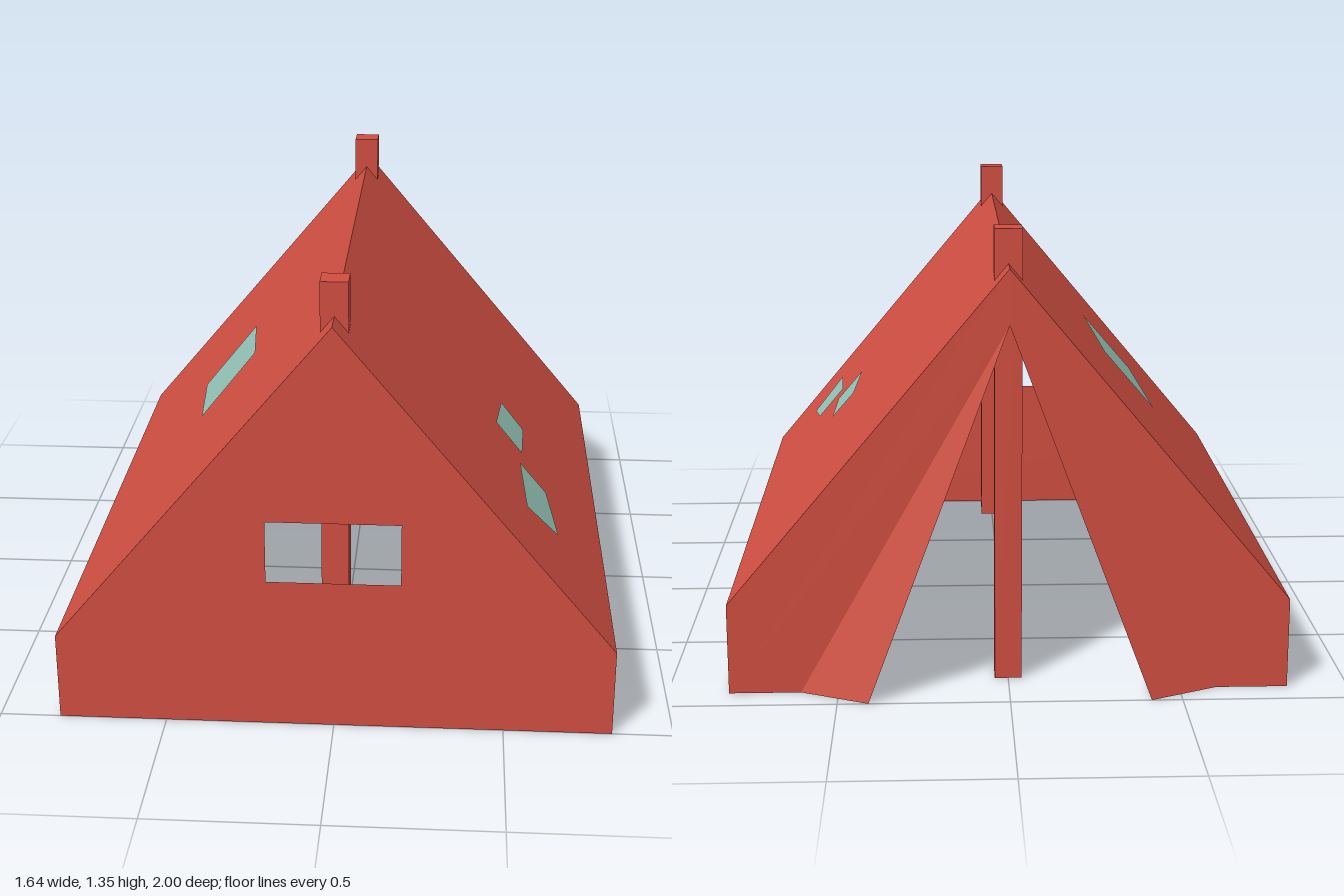
import * as THREE from 'three';

const W = 0.82, EAVE = 0.27, RIDGE = 1.25, FRONT = 1, BACK = -0.91;
const roofY = (x) => RIDGE - Math.abs(x) * (RIDGE - EAVE) / W;
const shapeFrom = (pts) => new THREE.Shape(pts.map(([x, y]) => new THREE.Vector2(x, y)));

export function createModel() {
  const group = new THREE.Group();
  const canvas = new THREE.MeshStandardMaterial({ color: 0xd04e41, side: THREE.DoubleSide });
  canvas.name = 'red canvas';
  const cloth = new THREE.MeshStandardMaterial({ color: 0x93c1b5, side: THREE.DoubleSide });
  cloth.name = 'teal patch cloth';

  const add = (name, geometry, material = canvas) => {
    const mesh = new THREE.Mesh(geometry, material);
    mesh.name = name;
    group.add(mesh);
    return mesh;
  };
  const facets = (triangles) => {
    const g = new THREE.BufferGeometry();
    g.setAttribute('position', new THREE.Float32BufferAttribute(triangles.flat(2), 3));
    g.computeVertexNormals();
    return g;
  };

  // Roof and low side walls: one cross-section carried from back to front
  const section = [[W, 0], [W, EAVE], [0, RIDGE], [-W, EAVE], [-W, 0]];
  const names = ['leftWall', 'leftRoof', 'rightRoof', 'rightWall'];
  names.forEach((name, i) => {
    const [a, b] = [section[i], section[i + 1]];
    const p = [...a, FRONT], q = [...a, BACK], r = [...b, BACK], s = [...b, FRONT];
    add(name, facets([[p, q, r], [p, r, s]]));
  });

  // Front gable with window opening
  const front = shapeFrom(section);
  front.holes.push(new THREE.Path([[-0.195, 0.47], [-0.195, 0.66], [0.195, 0.66], [0.195, 0.47]]
    .map(([x, y]) => new THREE.Vector2(x, y))));
  add('frontGable', new THREE.ShapeGeometry(front)).position.z = FRONT;

  // Back gable with the tall entrance
  const top = 1.09, inner = 0.41, outer = 0.61;
  const back = shapeFrom([...section, [-inner, 0], [0, top], [inner, 0]]);
  const backGable = new THREE.ShapeGeometry(back);
  backGable.rotateY(Math.PI);
  add('backGable', backGable).position.z = BACK;

  // Folded entrance flaps, mirrored
  for (const side of [1, -1]) {
    const apex = [0, top, BACK], o = [side * outer, 0, BACK];
    const tip = [side * inner, 0, -1], n = [side * inner, 0, BACK];
    const faces = [[apex, o, tip], [apex, tip, n], [o, n, tip]];
    add(side > 0 ? 'leftFlap' : 'rightFlap',
      facets(side > 0 ? faces : faces.map(([a, b, c]) => [a, c, b])));
  }

  // Tent poles through the ridge
  for (const [name, z] of [['frontPole', 0.87], ['backPole', -0.78]]) {
    add(name, new THREE.BoxGeometry(0.08, 1.35, 0.08)).position.set(0, 0.675, z);
  }

  // Patches: flat outlines in x and z, laid on the slope just outside or inside
  const patch = (name, corners, lift, holeScale = 0) => {
    const shape = shapeFrom(corners);
    if (holeScale) {
      const cx = corners.reduce((t, c) => t + c[0], 0) / corners.length;
      const cz = corners.reduce((t, c) => t + c[1], 0) / corners.length;
      shape.holes.push(new THREE.Path(corners.map(([x, z]) =>
        new THREE.Vector2(cx + (x - cx) * holeScale, cz + (z - cz) * holeScale))));
    }
    const g = new THREE.ShapeGeometry(shape);
    const pos = g.attributes.position;
    for (let i = 0; i < pos.count; i++) {
      const x = pos.getX(i), z = pos.getY(i);
      pos.setXYZ(i, x, roofY(x) + lift, z);
    }
    g.computeVertexNormals();
    add(name, g, cloth);
  };
  const large = [[-0.51, -0.09], [-0.34, -0.13], [-0.3, 0.26], [-0.47, 0.31]];
  patch('largePatch', large, 0.004);
  patch('largePatchLining', large, -0.004, 0.55);
  patch('innerPatch', [[-0.45, -0.46], [-0.56, -0.47], [-0.555, -0.19], [-0.44, -0.21]], -0.004);
  patch('smallPatch', [[0.49, 0.07], [0.565, 0.09], [0.555, 0.31], [0.47, 0.3]], 0.004);
  patch('frontPatch', [[0.545, 0.41], [0.63, 0.41], [0.66, 0.64], [0.56, 0.69]], 0.004);

  return group;
}
